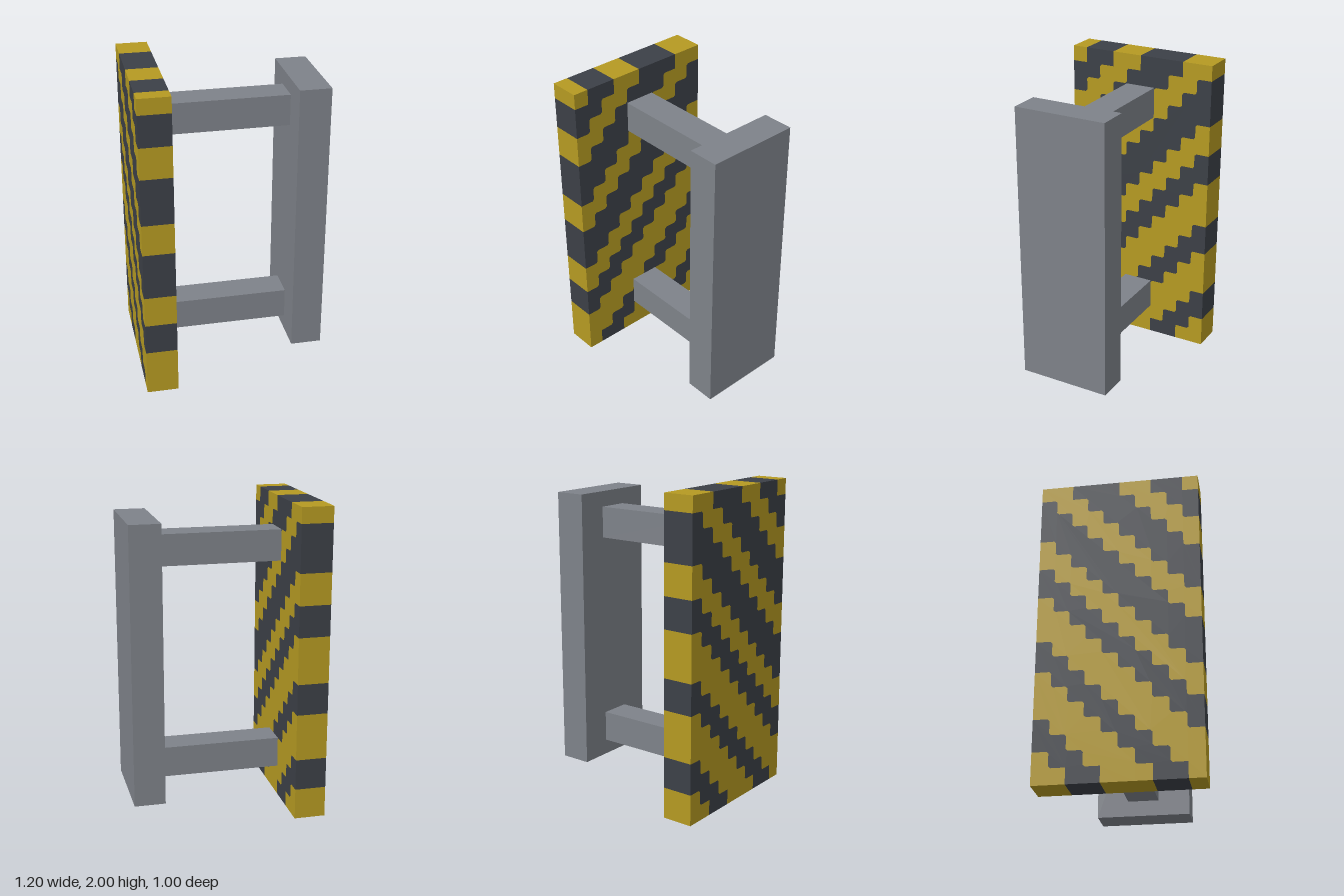
import * as THREE from 'three';

const yellow = new THREE.MeshStandardMaterial({ name: 'hazardYellow', color: 0xb59a22 });
const dark = new THREE.MeshStandardMaterial({ name: 'charcoal', color: 0x3c4047 });
const grey = new THREE.MeshStandardMaterial({ name: 'steelGrey', color: 0x7e8289 });

const CELL = 0.1, COLS = 10, ROWS = 20, CUT = 0.12;
// Rows where the stripes change colour in the front column; each column back rises one row
const EDGES = [-10, -7, -5, -2, 0, 3, 5, 7, 10, 12, 15, 17, 19, 30];

const clampRow = (r) => Math.min(Math.max(r, 0), ROWS);

// Staircase line over columns first..last, with slightly cut corners
function staircase(start, first, last) {
  const points = [];
  const height = (k) => clampRow(start + k);
  const isCut = (k) => height(k) > 0 && height(k + 1) < ROWS;
  for (let k = first; k <= last; k++) {
    const y = height(k);
    if (k > first && isCut(k - 1)) points.push([k, y - CUT], [k + CUT, y]);
    else points.push([k, y]);
    if (k < last && isCut(k)) points.push([k + 1 - CUT, y], [k + 1, y + CUT]);
    else points.push([k + 1, y]);
  }
  return points;
}

// One diagonal stripe running through the whole thickness of the board
function stripeGeometry(low, high) {
  const columns = [...Array(COLS).keys()].filter((k) => clampRow(low + k) < clampRow(high + k));
  const first = columns[0], last = columns[columns.length - 1];
  const outline = [...staircase(low, first, last), ...staircase(high, first, last).reverse()]
    .map(([u, v]) => new THREE.Vector2(u * CELL - 0.5, v * CELL))
    .filter((p, i, all) => i === 0 || p.distanceTo(all[i - 1]) > 1e-6);
  const geometry = new THREE.ExtrudeGeometry(new THREE.Shape(outline), { depth: 0.2, bevelEnabled: false });
  return geometry.rotateY(Math.PI / 2).translate(-0.6, 0, 0);
}

function box(name, size, position) {
  const mesh = new THREE.Mesh(new THREE.BoxGeometry(...size), grey);
  mesh.name = name;
  mesh.position.set(...position);
  return mesh;
}

export function createModel() {
  const model = new THREE.Group();
  model.name = 'stripedBarrier';

  // Striped board
  const board = new THREE.Group();
  board.name = 'stripedBoard';
  for (let i = 0; i < EDGES.length - 1; i++) {
    const stripe = new THREE.Mesh(stripeGeometry(EDGES[i], EDGES[i + 1]), i % 2 ? dark : yellow);
    stripe.name = i % 2 ? 'darkStripe' : 'yellowStripe';
    board.add(stripe);
  }
  model.add(board);

  // Mounting plate and the two arms joining it to the board
  model.add(box('mountingPlate', [0.2, 1.8, 0.6], [0.5, 1, 0]));
  model.add(box('lowerArm', [0.8, 0.2, 0.2], [0, 0.3, 0]));
  model.add(box('upperArm', [0.8, 0.2, 0.2], [0, 1.7, 0]));

  return model;
}
